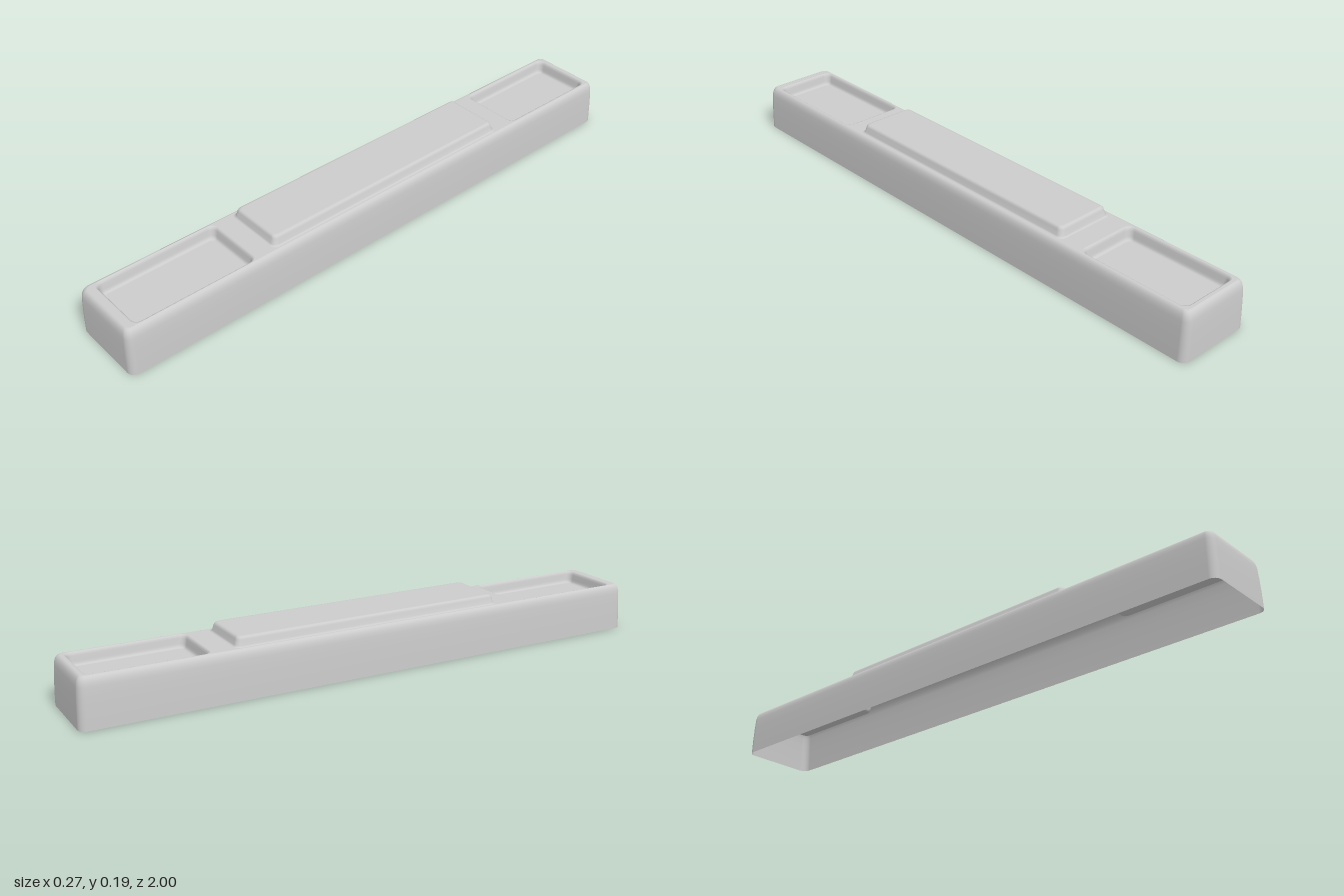
import * as THREE from 'three';

const CORNER_STEPS = 6;
const TOP = 0.161;
const material = new THREE.MeshStandardMaterial({ color: 0xcccccc, side: THREE.DoubleSide });

// Rounded rectangle in the x/z plane, as [x, z] pairs
function outline(cz, hx, hz, r) {
  const points = [];
  const signs = [[1, 1], [-1, 1], [-1, -1], [1, -1]];
  signs.forEach(([sx, sz], corner) => {
    for (let i = 0; i <= CORNER_STEPS; i++) {
      const a = (corner + i / CORNER_STEPS) * Math.PI / 2;
      points.push([sx * (hx - r) + r * Math.cos(a), cz + sz * (hz - r) + r * Math.sin(a)]);
    }
  });
  return points;
}

// Skin over rounded rectangles; each profile row is [inset, height]
function loft(name, { cz, hx, hz, r }, profile, capped) {
  const rings = profile.map(([inset, y]) =>
    outline(cz, hx - inset, hz - inset, Math.max(r - inset * 0.5, 0.008)).map(([x, z]) => [x, y, z]));
  const n = rings[0].length;
  const positions = rings.flat(2);
  const index = [];
  for (let j = 0; j < rings.length - 1; j++) {
    for (let i = 0; i < n; i++) {
      const k = (i + 1) % n;
      const a = j * n + i, b = j * n + k, c = a + n, d = b + n;
      index.push(a, c, b, b, c, d);
    }
  }
  if (capped) {
    const last = (rings.length - 1) * n;
    positions.push(0, profile[profile.length - 1][1], cz);
    for (let i = 0; i < n; i++) index.push(last + i, rings.length * n, last + (i + 1) % n);
  }
  const geometry = new THREE.BufferGeometry();
  geometry.setAttribute('position', new THREE.Float32BufferAttribute(positions, 3));
  geometry.setIndex(index);
  geometry.computeVertexNormals();
  const mesh = new THREE.Mesh(geometry, material);
  mesh.name = name;
  return mesh;
}

export function createModel() {
  const group = new THREE.Group();
  group.name = 'hollowBar';

  // Side walls, open underneath, rolling over into the top
  const body = { cz: 0, hx: 0.135, hz: 1, r: 0.025 };
  const wall = [[0, 0], [0.001, 0.05], [0.003, 0.1], [0.005, 0.13], [0.007, 0.142],
    [0.010, 0.151], [0.014, 0.157], [0.018, 0.160], [0.021, TOP]];
  group.add(loft('sideWalls', body, wall, false));

  // Footprints of the two trays and the raised middle
  const frontTray = { cz: 0.742, hx: 0.113, hz: 0.215, r: 0.025 };
  const backTray = { cz: -0.773, hx: 0.11, hz: 0.196, r: 0.025 };
  const plateau = { cz: -0.02, hx: 0.11, hz: 0.484, r: 0.022 };

  const trayProfile = [[0, TOP], [0.003, 0.160], [0.006, 0.156], [0.008, 0.150], [0.011, 0.134],
    [0.013, 0.127], [0.016, 0.123], [0.021, 0.121], [0.024, 0.121]];
  group.add(loft('frontTray', frontTray, trayProfile, true));
  group.add(loft('backTray', backTray, trayProfile, true));

  const plateauProfile = [[0, TOP], [0.004, 0.162], [0.007, 0.166], [0.012, 0.182],
    [0.014, 0.187], [0.017, 0.190], [0.021, 0.192], [0.025, 0.192]];
  group.add(loft('raisedMiddle', plateau, plateauProfile, true));

  // Flat top sheet with openings where the trays and raised middle sit
  const toVectors = ({ cz, hx, hz, r }) => outline(cz, hx, hz, r).map(([x, z]) => new THREE.Vector2(x, -z));
  const inset = wall[wall.length - 1][0];
  const sheet = new THREE.Shape(toVectors({
    cz: 0, hx: body.hx - inset, hz: body.hz - inset, r: body.r - inset * 0.5,
  }));
  sheet.holes = [frontTray, backTray, plateau].map((part) => new THREE.Path(toVectors(part)));
  const geometry = new THREE.ShapeGeometry(sheet);
  geometry.rotateX(-Math.PI / 2);
  geometry.translate(0, TOP, 0);
  const top = new THREE.Mesh(geometry, material);
  top.name = 'topSheet';
  group.add(top);

  return group;
}
